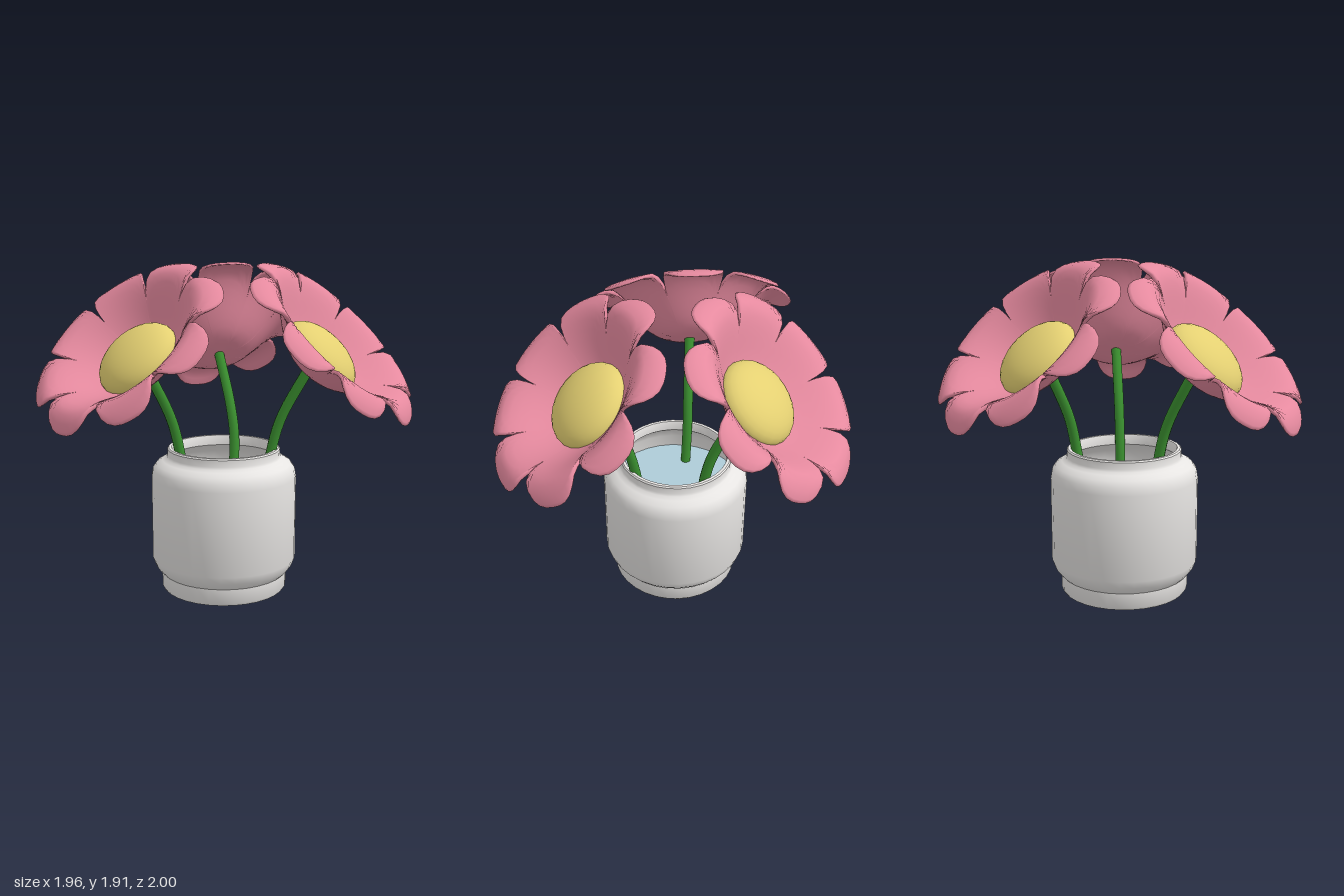
import * as THREE from 'three';
import { toCreasedNormals } from 'three/addons/utils/BufferGeometryUtils.js';

const material = (name, color) => {
  const m = new THREE.MeshStandardMaterial({ color });
  m.name = name;
  return m;
};
const mesh = (name, geometry, mat) => {
  const m = new THREE.Mesh(geometry, mat);
  m.name = name;
  return m;
};

const JAR_X = -0.075, JAR_Z = -0.015;
const TILT = 0.77;
const PETALS = 8, STEPS = 16;

// Petal outline: radius at t, from -1 (notch) over 0 (petal middle) to 1 (notch)
const outline = (t) => 0.38 + 0.232 * Math.pow(Math.max(0, 1 - Math.abs(t) ** 3), 0.63);

// Bowl that rises to a crest, with petal tips that curl back down
const bowl = (r) => -0.16 + 0.23 * THREE.MathUtils.smoothstep(r, 0.12, 0.53)
  - 0.065 * Math.max(0, (r - 0.46) / 0.15) ** 2;
const thickness = (r) => 0.02 + 0.025 * Math.max(0, 1 - r / 0.5);

// Closed petal shell: rings run outward over the top, round the rim, then inward underneath
function blossomGeometry() {
  const N = 14;
  const spread = Array.from({ length: N }, (_, j) => j / N).concat(0.985);
  const rings = [
    ...spread.map((s) => [s, 0]),
    [1, 0.5],
    ...spread.reverse().map((s) => [s, 1]),
  ];
  const positions = [], index = [];
  const around = PETALS * STEPS;
  for (const [s, depth] of rings) {
    for (let i = 0; i < around; i++) {
      const t = Math.sin((-1 + 2 * (i % STEPS) / STEPS) * Math.PI / 2);
      const angle = (Math.floor(i / STEPS) + t / 2) * 2 * Math.PI / PETALS;
      const r = outline(t) * s;
      positions.push(r * Math.sin(angle), bowl(r) - depth * thickness(r), r * Math.cos(angle));
    }
  }
  for (let j = 0; j < rings.length - 1; j++) {
    for (let i = 0; i < around; i++) {
      const k = (i + 1) % around;
      const a = j * around + i, b = a + around;
      const d = j * around + k, c = d + around;
      if (j < rings.length - 2) index.push(a, b, c);
      if (j > 0) index.push(a, c, d);
    }
  }
  const g = new THREE.BufferGeometry();
  g.setAttribute('position', new THREE.Float32BufferAttribute(positions, 3));
  g.setIndex(index);
  g.computeVertexNormals();
  return g;
}

export function createModel() {
  const model = new THREE.Group();
  model.name = 'flowersInJar';
  const ceramic = material('jarGrey', 0xe6e4e2);
  const water = material('waterBlue', 0xaecbd7);
  const green = material('stemGreen', 0x3a8f2f);
  const pink = material('petalPink', 0xe68a9f);
  const yellow = material('centreYellow', 0xe4d072);

  // Jar: outside from the base up, over the rim and down the inside
  const profile = [
    [0, 0], [0.36, 0], [0.37, 0.015], [0.37, 0.1], [0.385, 0.115], [0.408, 0.145], [0.425, 0.19],
    [0.425, 0.68], [0.417, 0.725], [0.395, 0.757], [0.36, 0.778], [0.337, 0.79], [0.33, 0.804],
    [0.33, 0.842], [0.323, 0.85], [0.306, 0.85], [0.302, 0.842], [0.302, 0.79], [0.36, 0.74],
    [0.39, 0.68], [0.39, 0.2], [0.34, 0.12], [0.34, 0.04], [0, 0.04],
  ].map(([r, y]) => new THREE.Vector2(r, y));
  const jar = mesh('jar', toCreasedNormals(new THREE.LatheGeometry(profile, 32), 0.7), ceramic);
  jar.position.set(JAR_X, 0, JAR_Z);
  model.add(jar);

  // Water surface
  const surface = mesh('water', new THREE.CircleGeometry(0.388, 32).rotateX(-Math.PI / 2), water);
  surface.position.set(JAR_X, 0.61, JAR_Z);
  model.add(surface);

  // Flowers: rim centre, heading, and where the stem passes the jar mouth
  const petals = blossomGeometry();
  const dome = new THREE.SphereGeometry(0.247, 24, 8, 0, Math.PI * 2, 0, Math.PI / 2).scale(1, 0.5, 1);
  const flowers = [
    { name: 'frontFlower', at: [-0.305, 1.482, 0.56], heading: -0.2, mouth: [-0.215, 0.85, 0.225] },
    { name: 'leftFlower', at: [0.53, 1.482, -0.22], heading: 1.77, mouth: [0.195, 0.85, -0.115] },
    { name: 'backFlower', at: [-0.472, 1.48, -0.452], heading: -2.25, mouth: [-0.18, 0.85, -0.27] },
  ];
  for (const { name, at, heading, mouth } of flowers) {
    const flower = new THREE.Group();
    flower.name = name;
    const head = new THREE.Group();
    head.name = 'flowerHead';
    head.position.set(...at);
    head.rotation.set(TILT, heading, 0, 'YXZ');
    const centre = mesh('flowerCentre', dome, yellow);
    centre.position.y = -0.113;
    head.add(mesh('petals', petals, pink), centre);

    // Stem bends from the water up into the back of the flower
    const up = new THREE.Vector3(0, 1, 0).applyEuler(head.rotation);
    const tip = new THREE.Vector3(...at).addScaledVector(up, -0.19);
    const low = new THREE.Vector3(...mouth);
    const bend = low.clone().lerp(tip, 0.25).setY(1.04);
    const foot = low.clone().setY(0.56);
    foot.x += (JAR_X - low.x) * 0.15;
    foot.z += (JAR_Z - low.z) * 0.15;
    const path = new THREE.CatmullRomCurve3([foot, low, bend, tip]);
    flower.add(head, mesh('stem', new THREE.TubeGeometry(path, 16, 0.03, 10), green));
    model.add(flower);
  }
  return model;
}
